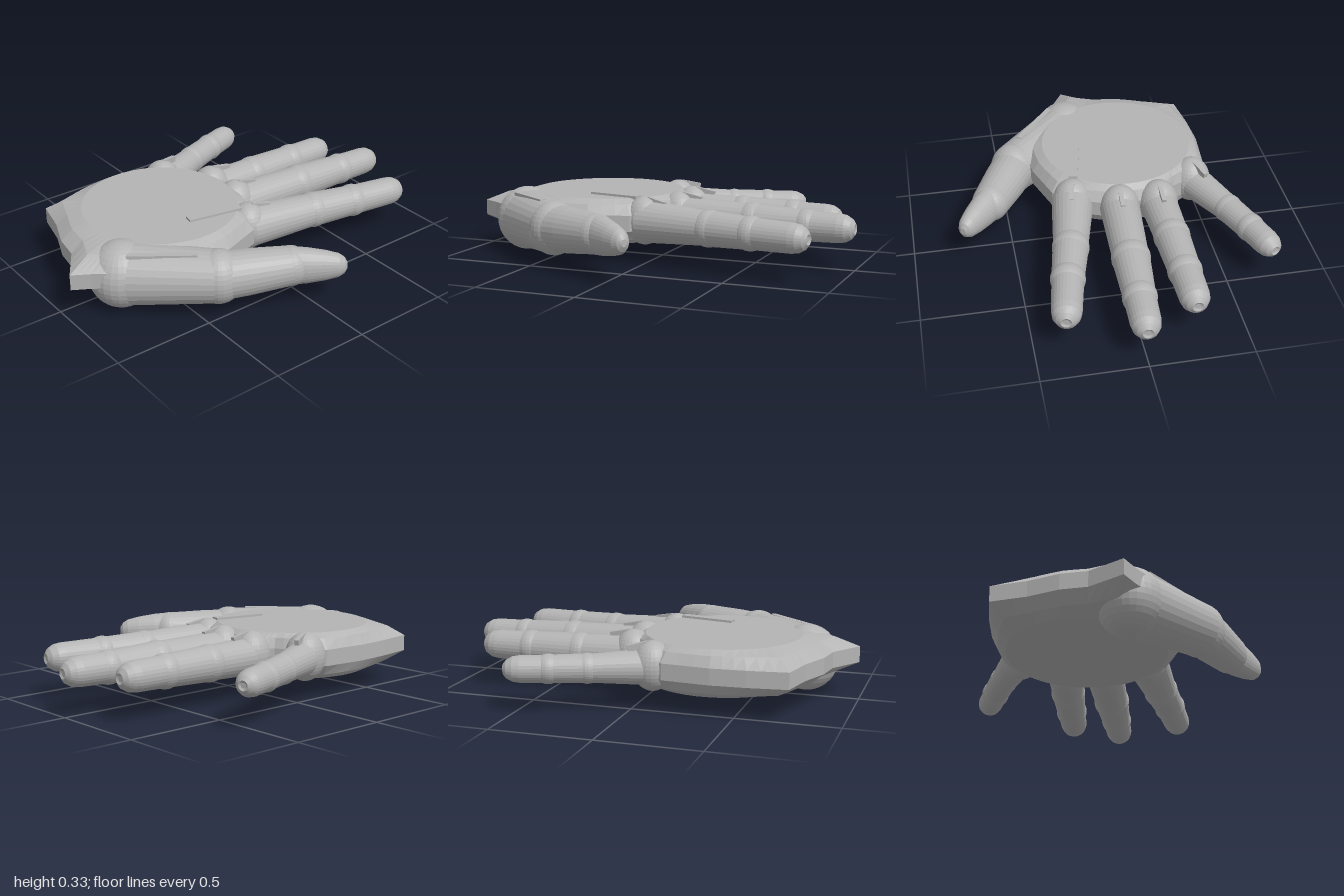
import * as THREE from 'three';

const skin = new THREE.MeshStandardMaterial({ color: 0xb4b4b4, flatShading: true });
skin.name = 'grey';
const V = (x, y, z) => new THREE.Vector3(x, y, z);
const UP = V(0, 1, 0);

function add(group, name, geometry) {
  const mesh = new THREE.Mesh(geometry, skin);
  mesh.name = name;
  group.add(mesh);
  return mesh;
}

// Stand a y-aligned geometry at a, pointing to b, with its local z kept upward
function aim(geometry, a, b) {
  const d = b.clone().sub(a).normalize();
  const side = d.clone().cross(UP).normalize();
  const m = new THREE.Matrix4().makeBasis(side, d, side.clone().cross(d));
  return geometry.applyMatrix4(m.setPosition(a));
}

// Round tapered part from [radius, fraction of length] pairs
function limb(group, name, a, b, profile, sideways = 1) {
  const length = a.distanceTo(b);
  const pts = profile.map(([r, t]) => new THREE.Vector2(r, t * length));
  const g = new THREE.LatheGeometry(pts, 28).scale(sideways, 1, 1);
  return add(group, name, aim(g, a, b));
}

function ball(group, name, p, rx, ry, rz = rx) {
  return add(group, name, new THREE.SphereGeometry(1, 28, 18).scale(rx, ry, rz).translate(p.x, p.y, p.z));
}

function rod(group, name, a, b, width, height) {
  const l = a.distanceTo(b);
  return add(group, name, aim(new THREE.BoxGeometry(width, l, height).translate(0, l / 2, 0), a, b));
}

// Palm: an irregular outer rim blended into flat round faces above and below
function palm(group) {
  const outline = [
    [-0.525, 0.76], [-0.55, 0.57], [-0.56, 0.4], [-0.54, 0.16], [-0.46, 0.06], [-0.34, 0], [-0.28, -0.08],
    [-0.145, -0.09], [0.03, -0.08], [0.14, -0.04], [0.28, 0.06], [0.35, 0.26], [0.37, 0.45],
    [0.3, 0.62], [0.22, 0.79], [0.14, 0.9], [0.09, 0.985], [-0.07, 0.88], [-0.2, 0.86], [-0.35, 0.8],
  ];
  const cx = -0.106, cz = 0.35, parts = 3;
  const rim = [];
  outline.forEach(([x, z], i) => {
    const [nx, nz] = outline[(i + 1) % outline.length];
    for (let k = 0; k < parts; k++) rim.push([x + (nx - x) * k / parts, z + (nz - z) * k / parts]);
  });
  const levels = [[0.09, 0], [0.115, 0.55], [0.165, 1], [0.245, 1], [0.295, 0.55], [0.318, 0]];
  const n = rim.length, pos = [], index = [];
  for (const [y, t] of levels) {
    for (const [x, z] of rim) {
      const a = Math.atan2(z - cz, x - cx);
      const fx = cx + 0.39 * Math.cos(a), fz = cz + 0.385 * Math.sin(a);
      pos.push(fx + (x - fx) * t, y, fz + (z - fz) * t);
    }
  }
  for (let l = 0; l < levels.length - 1; l++) {
    for (let i = 0; i < n; i++) {
      const a = l * n + i, b = l * n + (i + 1) % n;
      index.push(a, a + n, b, b, a + n, b + n);
    }
  }
  // flat faces
  const low = pos.length / 3, high = low + 1, top = (levels.length - 1) * n;
  pos.push(cx, levels[0][0], cz, cx, levels[levels.length - 1][0], cz);
  for (let i = 0; i < n; i++) {
    const j = (i + 1) % n;
    index.push(low, i, j, high, top + j, top + i);
  }
  const g = new THREE.BufferGeometry();
  g.setAttribute('position', new THREE.Float32BufferAttribute(pos, 3));
  g.setIndex(index);
  g.computeVertexNormals();
  add(group, 'palm', g);
}

// Finger: knuckle, two bulging joints and a rounded tip; points are [x, z]
function finger(group, name, points, radii) {
  const f = new THREE.Group();
  f.name = name;
  group.add(f);
  const p = points.map(([x, z]) => V(x, 0.205, z));
  ball(f, 'knuckle', V(p[0].x, 0.21, p[0].z), 0.1, 0.121);
  for (let i = 0; i < 2; i++) {
    limb(f, 'fingerSegment', p[i], p[i + 1], [[radii[i], 0], [radii[i + 1] * 0.96, 1]]);
    ball(f, 'fingerJoint', p[i + 1], radii[i + 1] * 1.04, radii[i + 1] * 1.04);
  }
  const r = radii[3], l = p[2].distanceTo(p[3]);
  limb(f, 'fingerTip', p[2], p[3], [
    [radii[2] * 0.95, 0], [r, 1 - 0.08 / l], [r * 0.92, 1 - 0.045 / l],
    [r * 0.68, 1 - 0.016 / l], [r * 0.36, 1], [r * 0.2, 1 - 0.006 / l], [0, 1 - 0.006 / l],
  ]);
  // small tendon ridge over the knuckle
  const d = p[1].clone().sub(p[0]).normalize();
  const a = p[0].clone().addScaledVector(d, 0.02).setY(0.315);
  rod(f, 'knuckleRidge', a, a.clone().addScaledVector(d, 0.1).setY(0.295), 0.022, 0.03);
}

function thumb(group) {
  const t = new THREE.Group();
  t.name = 'thumb';
  group.add(t);
  const root = V(0.11, 0.168, 0.72), knuckle = V(0.435, 0.187, 0.395);
  const joint = V(0.59, 0.205, 0.09), tip = V(0.75, 0.205, -0.125);
  ball(t, 'thumbRoot', root, 0.16, 0.166);
  limb(t, 'thumbBase', root, knuckle, [[0.155, 0], [0.128, 1]]);
  ball(t, 'thumbKnuckle', knuckle, 0.122, 0.134);
  limb(t, 'thumbSegment', knuckle, joint, [[0.117, 0], [0.112, 0.4], [0.096, 1]], 0.98);
  ball(t, 'thumbJoint', joint, 0.094, 0.097);
  limb(t, 'thumbTip', joint, tip, [
    [0.097, 0], [0.09, 0.3], [0.076, 0.62], [0.06, 0.85], [0.042, 0.95], [0.018, 1], [0, 1],
  ], 0.78);
  rod(t, 'thumbTendon', V(0.19, 0.295, 0.74), V(0.39, 0.3, 0.48), 0.03, 0.035);
}

export function createModel() {
  const hand = new THREE.Group();
  hand.name = 'hand';
  palm(hand);
  finger(hand, 'littleFinger', [[-0.455, 0.095], [-0.58, -0.185], [-0.645, -0.355], [-0.715, -0.555]], [0.088, 0.07, 0.069, 0.065]);
  finger(hand, 'ringFinger', [[-0.245, -0.07], [-0.25, -0.35], [-0.25, -0.615], [-0.25, -0.872]], [0.094, 0.088, 0.081, 0.073]);
  finger(hand, 'middleFinger', [[-0.045, -0.075], [-0.02, -0.475], [-0.003, -0.755], [0.01, -1]], [0.1, 0.092, 0.08, 0.072]);
  finger(hand, 'indexFinger', [[0.18, 0.02], [0.25, -0.345], [0.3, -0.57], [0.355, -0.865]], [0.107, 0.088, 0.081, 0.072]);
  // raised tendon behind the index finger
  rod(hand, 'indexTendon', V(0.17, 0.312, 0.06), V(0.115, 0.312, 0.335), 0.045, 0.034);
  thumb(hand);
  return hand;
}
